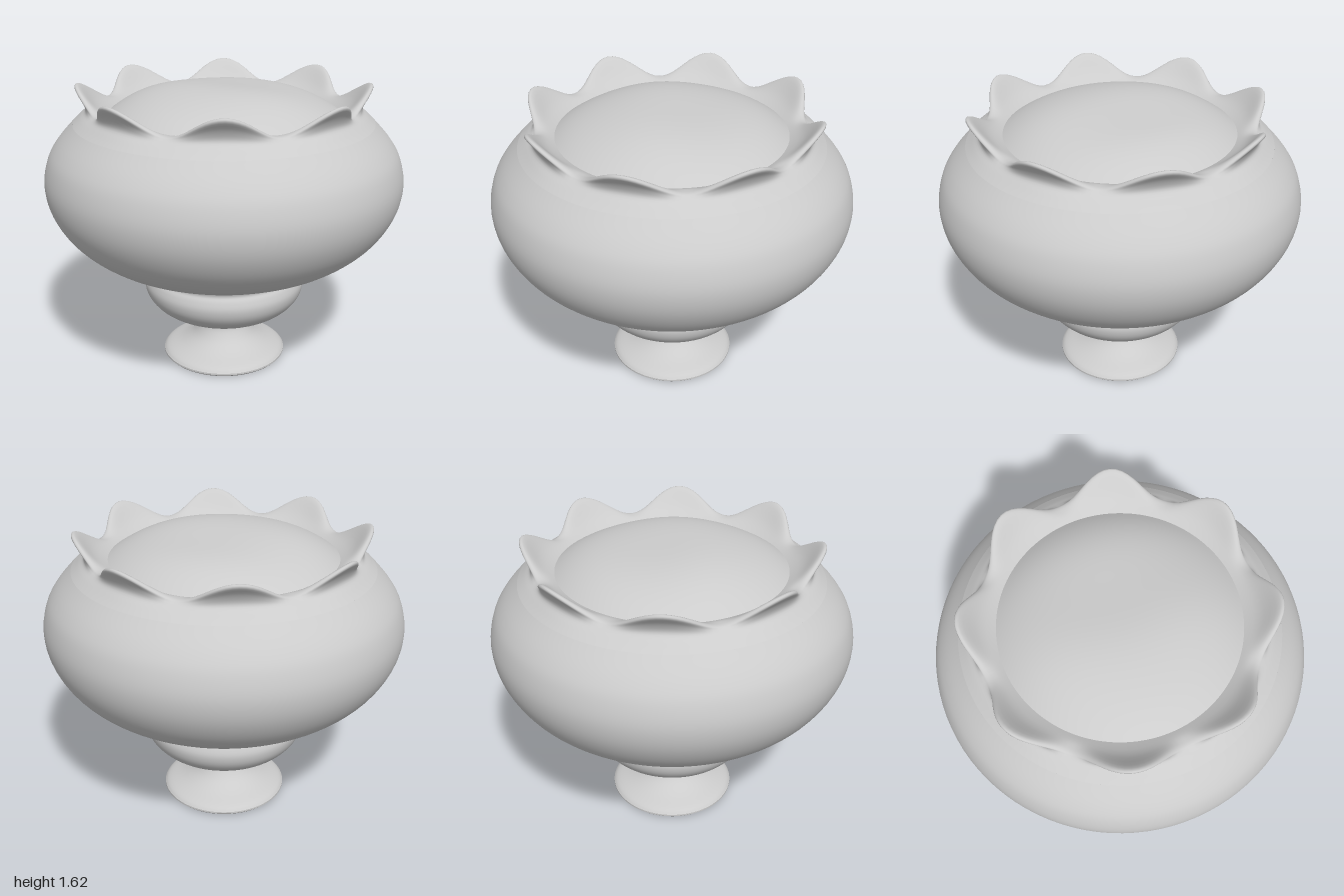
import * as THREE from 'three';
import { mergeVertices, toCreasedNormals } from 'three/addons/utils/BufferGeometryUtils.js';

const SEGMENTS = 96;
const PETALS = 8;
const PETAL_OFFSET = THREE.MathUtils.degToRad(16);

// Smooth curve through [radius, height] pairs
function smoothProfile(pairs, count) {
  const curve = new THREE.SplineCurve(pairs.map(([r, y]) => new THREE.Vector2(r, y)));
  return curve.getPoints(count).map((p) => new THREE.Vector2(Math.max(p.x, 0), p.y));
}

function addMesh(group, name, geometry) {
  const material = new THREE.MeshStandardMaterial({ color: 0xcccccc, side: THREE.DoubleSide });
  const mesh = new THREE.Mesh(geometry, material);
  mesh.name = name;
  group.add(mesh);
}

// Weld a reshaped lathe and give it smooth normals
function weld(geometry) {
  geometry.deleteAttribute('uv');
  geometry.deleteAttribute('normal');
  const welded = mergeVertices(geometry, 1e-4);
  welded.computeVertexNormals();
  return welded;
}

// Rim: one section for the dips, one for the flared petals, blended around the circle
function rimGeometry() {
  const dip = smoothProfile([
    [0.83, 1.425], [0.785, 1.46], [0.757, 1.478], [0.74, 1.488],
    [0.725, 1.496], [0.7, 1.497], [0.66, 1.49], [0.6, 1.46],
  ], 28);
  const petal = smoothProfile([
    [0.83, 1.425], [0.79, 1.462], [0.757, 1.5], [0.775, 1.555],
    [0.815, 1.608], [0.79, 1.616], [0.7, 1.52], [0.6, 1.46],
  ], 28);
  const geometry = new THREE.LatheGeometry(dip, 160);
  const pos = geometry.attributes.position;
  for (let i = 0; i < pos.count; i++) {
    const j = i % dip.length;
    const angle = Math.atan2(pos.getZ(i), pos.getX(i));
    const wave = 0.5 + 0.5 * Math.cos(PETALS * (angle - PETAL_OFFSET));
    const p = dip[j].clone().lerp(petal[j], wave);
    pos.setXYZ(i, p.x * Math.cos(angle), p.y, p.x * Math.sin(angle));
  }
  return weld(geometry);
}

// Filling: flat-topped mound with a gentle uneven swell
function fillingGeometry() {
  const profile = [];
  for (let i = 0; i <= 24; i++) {
    const t = 1 - i / 24;
    profile.push(new THREE.Vector2(0.63 * t, 1.475 + 0.14 * (1 - t ** 3.2)));
  }
  const geometry = new THREE.LatheGeometry(profile, SEGMENTS);
  const pos = geometry.attributes.position;
  for (let i = 0; i < pos.count; i++) {
    const x = pos.getX(i), z = pos.getZ(i);
    const fade = 1 - (x * x + z * z) / 0.4;
    const swell = -0.015 * x + 0.009 * Math.sin(6 * (z - x) + 0.4);
    pos.setY(i, pos.getY(i) + fade * swell);
  }
  return weld(geometry);
}

export function createModel() {
  const group = new THREE.Group();
  group.name = 'footedBowl';

  // Bowl body
  const bowl = smoothProfile([
    [0.45, 0.567], [0.53, 0.6], [0.74, 0.7], [0.885, 0.82], [0.972, 0.96], [1, 1.1],
    [0.975, 1.23], [0.92, 1.325], [0.83, 1.425],
  ], 40);
  addMesh(group, 'bowl', new THREE.LatheGeometry(bowl, SEGMENTS));
  addMesh(group, 'scallopedRim', rimGeometry());
  addMesh(group, 'filling', fillingGeometry());

  // Rounded cup between bowl and stem
  const cup = smoothProfile([
    [0.12, 0.238], [0.2, 0.25], [0.3, 0.28], [0.39, 0.33], [0.447, 0.395],
    [0.465, 0.46], [0.453, 0.51], [0.437, 0.54], [0.45, 0.575],
  ], 30);
  addMesh(group, 'cup', new THREE.LatheGeometry(cup, SEGMENTS));

  // Stem flaring into the foot, closed underneath
  const foot = [new THREE.Vector2(0, 0), new THREE.Vector2(0.35, 0), new THREE.Vector2(0.36, 0.01)].concat(
    smoothProfile([
      [0.36, 0.02], [0.335, 0.042], [0.25, 0.076], [0.185, 0.118],
      [0.146, 0.17], [0.136, 0.21], [0.14, 0.245],
    ], 24));
  addMesh(group, 'foot', toCreasedNormals(new THREE.LatheGeometry(foot, SEGMENTS), 0.6));

  return group;
}
